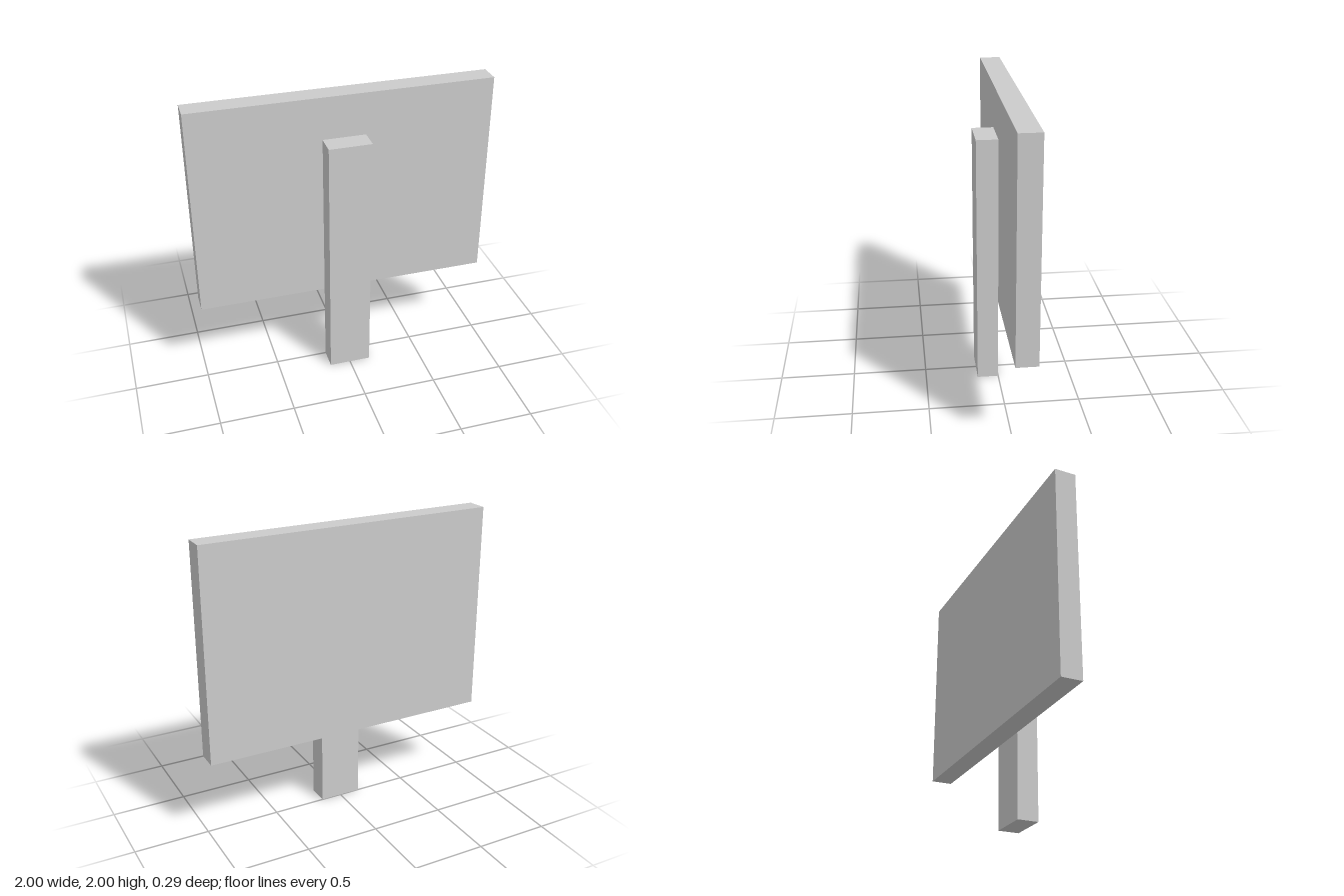
import * as THREE from 'three';

const U = 1 / 7; // all dimensions are multiples of this thickness

// Box from its minimum and maximum corners, in thickness units
function box(name, min, max, material) {
  const size = max.map((v, i) => (v - min[i]) * U);
  const mesh = new THREE.Mesh(new THREE.BoxGeometry(...size), material);
  mesh.position.set(...max.map((v, i) => ((v + min[i]) / 2) * U));
  mesh.name = name;
  return mesh;
}

export function createModel() {
  const group = new THREE.Group();
  group.name = 'signpost';
  const grey = new THREE.MeshStandardMaterial({ color: 0xcccccc, flatShading: true });

  // Wide panel at the back
  group.add(box('signBoard', [-7, 4, -1], [7, 14, 0], grey));
  // Upright fixed against the panel's front
  group.add(box('post', [-1, 0, 0], [1, 12, 1], grey));

  return group;
}
